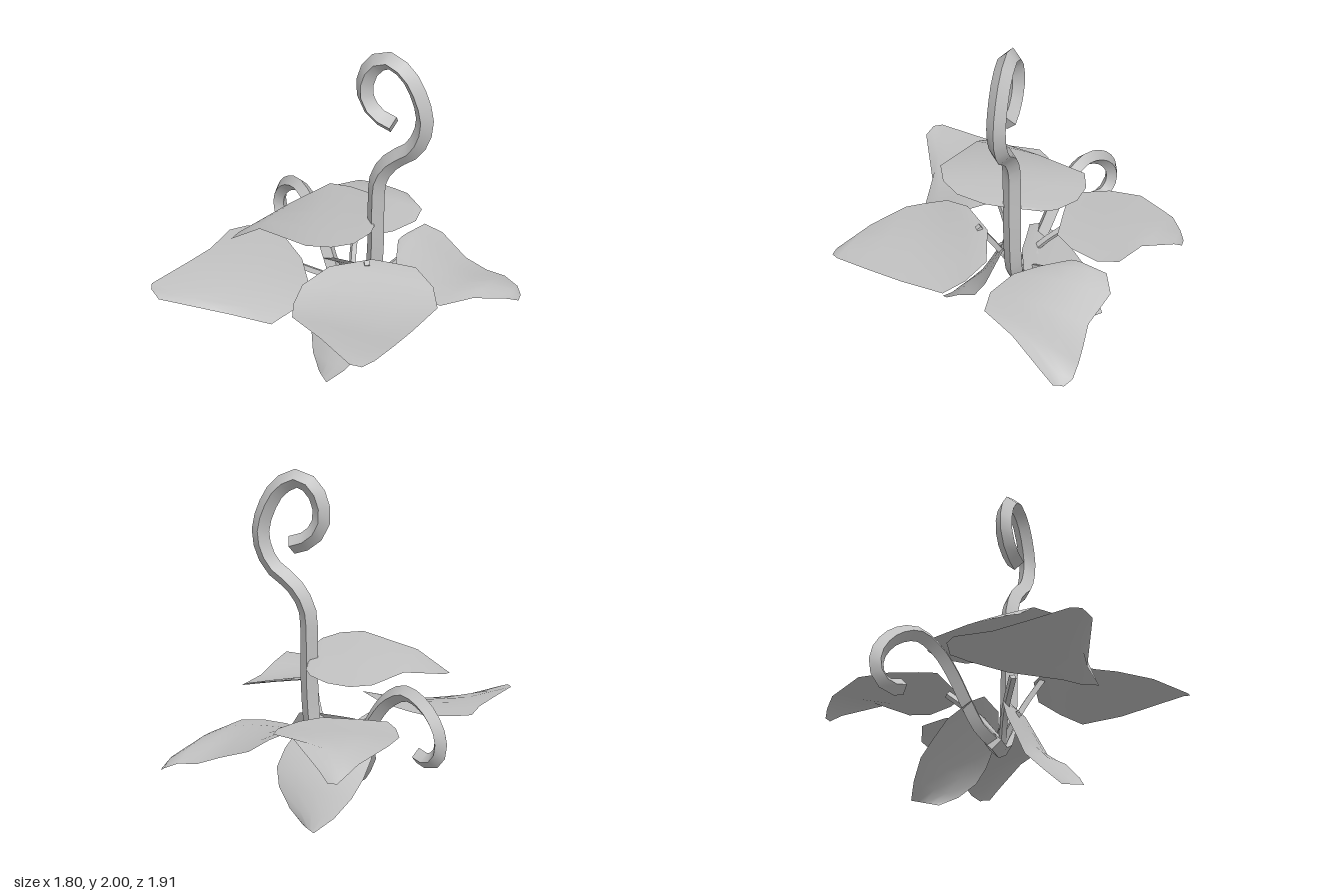
import * as THREE from 'three';
import { toCreasedNormals } from 'three/addons/utils/BufferGeometryUtils.js';

const grey = new THREE.MeshStandardMaterial({ color: 0xc0c0c0, side: THREE.DoubleSide });
grey.name = 'grey';

// Square-section stem swept along a smooth path
function stem(name, points, radius, steps) {
  const path = new THREE.CatmullRomCurve3(points.map(([x, y, z = 0]) => new THREE.Vector3(x, y, z)));
  const r = radius;
  const section = new THREE.Shape([[r, 0], [0, r], [-r, 0], [0, -r]].map(([x, y]) => new THREE.Vector2(x, y)));
  const geo = new THREE.ExtrudeGeometry(section, { steps, extrudePath: path, bevelEnabled: false });
  const mesh = new THREE.Mesh(toCreasedNormals(geo, 0.7), grey);
  mesh.name = name;
  return mesh;
}

// Leaf sheet: rows run from base to tip, each with a left and a right edge point;
// the rib between them is lifted along the bulge vector
function leaf(name, bulge, rows) {
  const pos = [], index = [];
  const lift = new THREE.Vector3(...bulge);
  rows.forEach(([l, r], i) => {
    const a = new THREE.Vector3(...l), b = new THREE.Vector3(...r);
    const along = Math.sin(Math.PI * (i + 0.3) / (rows.length - 0.4));
    for (let j = 0; j <= 4; j++) {
      const t = j / 4;
      const p = a.clone().lerp(b, t).addScaledVector(lift, along * 4 * t * (1 - t));
      pos.push(p.x, p.y, p.z);
      if (i && j) {
        const k = i * 5 + j;
        index.push(k - 6, k - 1, k - 5, k - 5, k - 1, k);
      }
    }
  });
  const geo = new THREE.BufferGeometry();
  geo.setAttribute('position', new THREE.Float32BufferAttribute(pos, 3));
  geo.setIndex(index);
  geo.computeVertexNormals();
  const mesh = new THREE.Mesh(geo, grey);
  mesh.name = name;
  return mesh;
}

export function createModel() {
  const plant = new THREE.Group();
  plant.name = 'plant';

  // Tall stem ending in a hook
  const main = stem('mainStem', [
    [-0.08, 0.29], [0, 0.272], [0.08, 0.32], [0.13, 0.45], [0.155, 0.75], [0.155, 1],
    [0.17, 1.2], [0.25, 1.33], [0.39, 1.45], [0.45, 1.62], [0.41, 1.78], [0.33, 1.9],
    [0.22, 1.952], [0.13, 1.9], [0.08, 1.79], [0.09, 1.68], [0.16, 1.6], [0.26, 1.565],
  ], 0.054, 32);
  main.position.z = -0.015;
  plant.add(main);

  // Side tendril, drawn flat and turned towards the back right
  const tendril = stem('curledTendril', [
    [0.05, 0.3], [0.15, 0.36], [0.25, 0.5], [0.34, 0.64], [0.44, 0.75], [0.58, 0.815],
    [0.74, 0.75], [0.835, 0.62], [0.83, 0.52], [0.76, 0.46], [0.67, 0.475],
  ], 0.047, 22);
  tendril.rotation.y = Math.PI - 0.51;
  plant.add(tendril);

  // Spreading leaves
  plant.add(leaf('topLeaf', [0, 0.01, 0], [
    [[0.12, 0.875, -0.18], [0.16, 0.89, 0]],
    [[0.07, 0.865, -0.26], [0.2, 0.92, 0.14]],
    [[-0.06, 0.855, -0.35], [0.18, 0.94, 0.31]],
    [[-0.2, 0.85, -0.37], [0.1, 0.955, 0.42]],
    [[-0.32, 0.86, -0.33], [-0.03, 0.96, 0.48]],
    [[-0.42, 0.86, -0.02], [-0.4, 0.9, 0.37]],
    [[-0.59, 0.78, 0.3], [-0.6, 0.77, 0.37]],
  ]));
  plant.add(leaf('backLeaf', [0, 0.015, 0], [
    [[-0.38, 0.62, -0.22], [0, 0.62, -0.25]],
    [[-0.45, 0.61, -0.3], [0.1, 0.62, -0.36]],
    [[-0.51, 0.61, -0.45], [0.17, 0.62, -0.53]],
    [[-0.5, 0.62, -0.65], [0.15, 0.63, -0.66]],
    [[-0.4, 0.58, -0.87], [0, 0.65, -0.76]],
    [[-0.35, 0.53, -0.93], [-0.2, 0.54, -0.92]],
    [[-0.31, 0.49, -0.96], [-0.26, 0.49, -0.96]],
  ]));
  plant.add(leaf('leftBackLeaf', [0, 0.035, 0], [
    [[0.15, 0.57, -0.45], [0.13, 0.56, -0.37]],
    [[0.2, 0.57, -0.6], [0.2, 0.53, -0.2]],
    [[0.3, 0.51, -0.65], [0.28, 0.5, -0.06]],
    [[0.5, 0.43, -0.57], [0.45, 0.48, 0.03]],
    [[0.64, 0.38, -0.575], [0.6, 0.47, 0.02]],
    [[0.76, 0.37, -0.58], [0.72, 0.44, -0.18]],
    [[0.85, 0.33, -0.57], [0.86, 0.35, -0.39]],
    [[0.89, 0.3, -0.53], [0.9, 0.3, -0.47]],
  ]));
  plant.add(leaf('leftFrontLeaf', [0, 0.012, 0], [
    [[0.2, 0.73, 0.12], [0.45, 0.71, 0.05]],
    [[0.02, 0.73, 0.3], [0.6, 0.67, 0.13]],
    [[-0.07, 0.67, 0.46], [0.68, 0.62, 0.24]],
    [[-0.05, 0.63, 0.6], [0.65, 0.62, 0.5]],
    [[0, 0.62, 0.7], [0.64, 0.65, 0.7]],
    [[0.25, 0.65, 0.83], [0.62, 0.675, 0.9]],
    [[0.5, 0.64, 0.95], [0.57, 0.65, 0.95]],
  ]));
  plant.add(leaf('rightFrontLeaf', [0, 0.01, 0], [
    [[-0.57, 0.62, -0.05], [-0.46, 0.62, 0]],
    [[-0.72, 0.62, 0], [-0.25, 0.61, 0.15]],
    [[-0.8, 0.61, 0.08], [-0.05, 0.6, 0.4]],
    [[-0.8, 0.6, 0.3], [-0.08, 0.54, 0.52]],
    [[-0.84, 0.6, 0.5], [-0.17, 0.48, 0.65]],
    [[-0.9, 0.6, 0.77], [-0.43, 0.48, 0.68]],
    [[-0.87, 0.6, 0.82], [-0.8, 0.57, 0.85]],
  ]));

  // Hanging leaves, each twisted so that one edge stands further out
  plant.add(leaf('frontHangingLeaf', [0, 0.005, 0.015], [
    [[-0.1, 0.53, 0.06], [0.13, 0.55, 0.04]],
    [[-0.18, 0.47, 0.09], [0.24, 0.54, 0.05]],
    [[-0.2, 0.38, 0.12], [0.32, 0.42, 0.1]],
    [[-0.2, 0.25, 0.18], [0.29, 0.28, 0.18]],
    [[-0.16, 0.16, 0.21], [0.25, 0.22, 0.29]],
    [[-0.1, 0.07, 0.3], [0.17, 0.1, 0.4]],
    [[-0.02, 0.005, 0.37], [0.08, 0.02, 0.46]],
  ]));
  plant.add(leaf('backHangingLeaf', [0, 0.005, -0.015], [
    [[-0.14, 0.54, -0.04], [0.1, 0.54, -0.06]],
    [[-0.24, 0.48, -0.08], [0.2, 0.48, -0.1]],
    [[-0.28, 0.38, -0.2], [0.26, 0.38, -0.16]],
    [[-0.26, 0.29, -0.29], [0.29, 0.28, -0.22]],
    [[-0.22, 0.2, -0.39], [0.26, 0.18, -0.27]],
    [[-0.14, 0.1, -0.47], [0.17, 0.08, -0.34]],
    [[-0.04, 0.025, -0.535], [0.06, 0.01, -0.41]],
  ]));

  // Thin stalks fanning out from the root of the stem to the leaves
  const root = [0.02, 0.3, 0];
  const stalks = [
    [[-0.06, 0.47, -0.13], [-0.12, 0.6, -0.28]],
    [[0.1, 0.42, -0.12], [0.2, 0.51, -0.28]],
    [[0.13, 0.55, 0.08], [0.2, 0.74, 0.18]],
    [[-0.08, 0.46, 0.06], [-0.25, 0.58, 0.18]],
    [[0.02, 0.4, 0.05], [0.02, 0.48, 0.1]],
    [[0, 0.38, -0.06], [0, 0.46, -0.12]],
  ];
  for (const [bend, end] of stalks) plant.add(stem('leafStalk', [root, bend, end], 0.022, 6));

  return plant;
}
